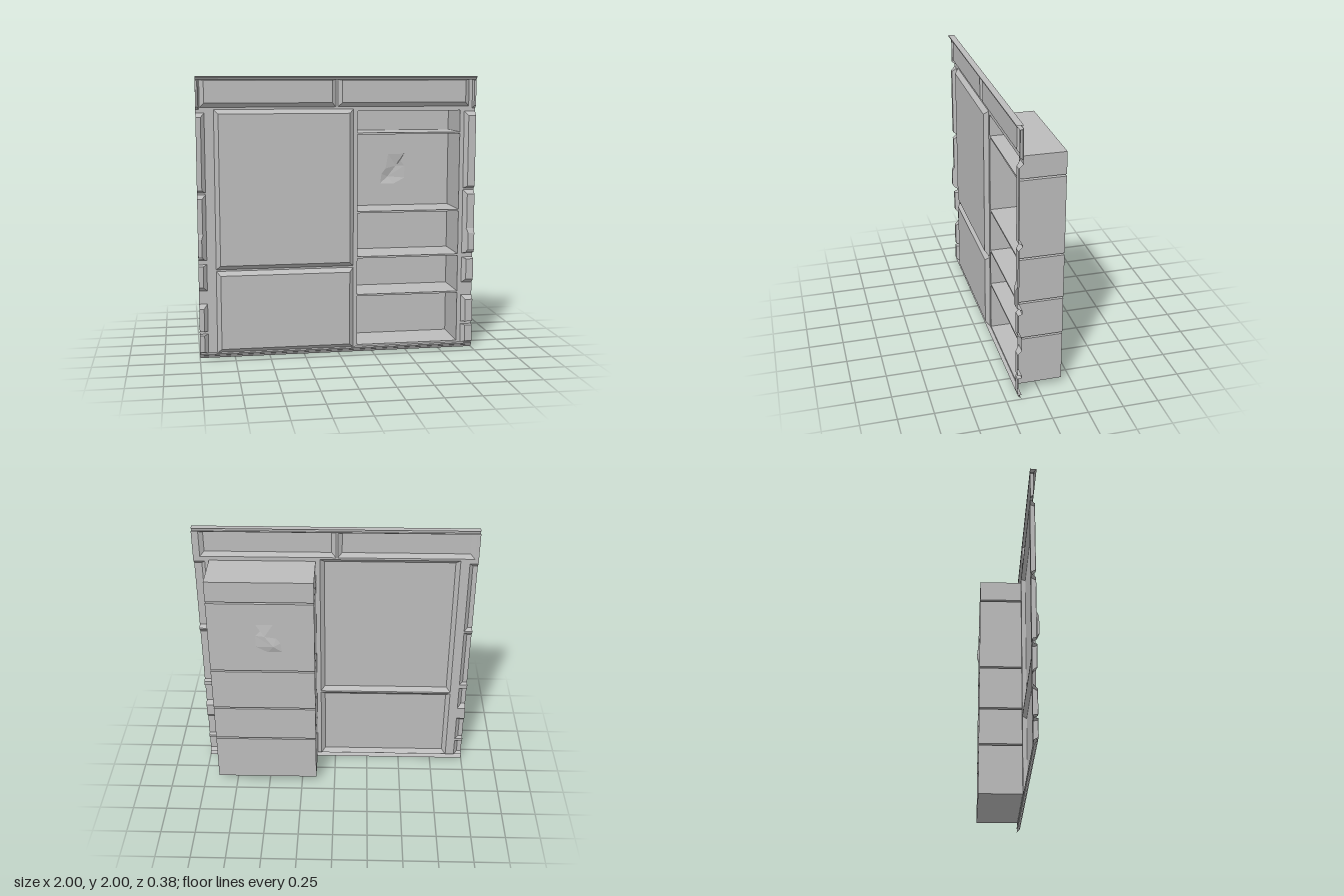
import * as THREE from 'three';

const BASE = 0.145, FACE = 0.175, BACK = -0.17;

export function createModel() {
  const model = new THREE.Group();
  model.name = 'wallPanel';
  const grey = new THREE.MeshStandardMaterial({ color: 0xbcbcbc, side: THREE.DoubleSide, flatShading: true });
  grey.name = 'plain grey';

  const add = (name, geometry) => {
    const mesh = new THREE.Mesh(geometry, grey);
    mesh.name = name;
    model.add(mesh);
    return mesh;
  };

  // Open surface from quads and triangles, each face flat
  const surface = (name, faces) => {
    const pos = [];
    for (const f of faces)
      for (let i = 1; i < f.length - 1; i++) pos.push(...f[0], ...f[i], ...f[i + 1]);
    const g = new THREE.BufferGeometry();
    g.setAttribute('position', new THREE.Float32BufferAttribute(pos, 3));
    g.computeVertexNormals();
    return add(name, g);
  };

  const rect = (x0, x1, y0, y1, z) => [[x0, y0, z], [x1, y0, z], [x1, y1, z], [x0, y1, z]];

  // Raised field with bevels [left, right, bottom, top]; null leaves that side open
  const raised = (name, [x0, x1, y0, y1], [l, r, b, t], z1 = FACE) => {
    const o = rect(x0, x1, y0, y1, BASE);
    const n = rect(x0 + (l || 0), x1 - (r || 0), y0 + (b || 0), y1 - (t || 0), z1);
    const faces = [n];
    [b, r, t, l].forEach((bevel, i) => {
      const j = (i + 1) % 4;
      if (bevel !== null) faces.push([o[i], o[j], n[j], n[i]]);
    });
    surface(name, faces);
  };

  const path = (pts, Type = THREE.Shape) => new Type(pts.map(p => new THREE.Vector2(p[0], p[1])));
  const sheet = (name, outline, holes, z) => {
    const s = path(outline);
    s.holes = holes.map(h => path(h, THREE.Path));
    const g = new THREE.ShapeGeometry(s);
    g.translate(0, 0, z);
    return add(name, g);
  };

  // Panels, header fields and shelf openings: x0, x1, y0, y1
  const panels = [[-0.875, 0.11, 0.64, 1.77], [-0.875, 0.11, 0.035, 0.628]];
  const headers = [[-0.972, -0.016, 1.785, 1.975], [-0.002, 0.952, 1.785, 1.975]];
  const shelves = [[0.05, 0.412], [0.425, 0.692], [0.705, 1.022], [1.035, 1.587], [1.60, 1.755]]
    .map(([a, b]) => [0.14, 0.89, a, b]);

  // Flat frame sheet with all the openings, and the strip behind the header
  const L = -0.94, R = 0.92;
  sheet('frame', rect(L, R, 0.035, 1.778),
    [...panels, ...shelves].map(b => rect(...b, 0)), BASE);
  sheet('headerFrame', rect(-1, 1, 1.778, 1.98), headers.map(b => rect(...b, 0)), BASE);

  panels.forEach((b, i) => raised(i ? 'lowerPanel' : 'upperPanel', b, [0.03, 0.03, 0.03, 0.03]));
  headers.forEach((b, i) => raised(i ? 'leftHeaderField' : 'rightHeaderField', b, [0.03, 0.03, 0.03, 0.004], 0.168));

  // Dented spot in the back of one shelf
  const rim = [[0.37, 1.2], [0.47, 1.195], [0.555, 1.24], [0.555, 1.33], [0.52, 1.37],
    [0.55, 1.42], [0.43, 1.42], [0.42, 1.36], [0.41, 1.31], [0.38, 1.27]];

  // Shelf boxes, open to the front
  shelves.forEach(([x0, x1, y0, y1], i) => {
    const f = rect(x0, x1, y0, y1, BASE), k = rect(x0, x1, y0, y1, BACK);
    surface('shelfBox', f.map((_, c) => [f[c], f[(c + 1) % 4], k[(c + 1) % 4], k[c]]));
    sheet('shelfBack', rect(x0, x1, y0, y1), i === 3 ? [rim] : [], BACK);
  });
  const peaks = [[0.43, 1.25, -0.188], [0.49, 1.33, -0.182]];
  const dent = [];
  rim.forEach(([x, y], i) => {
    const [x2, y2] = rim[(i + 1) % rim.length];
    const top = i >= 3 && i <= 7;
    dent.push([[x, y, BACK], [x2, y2, BACK], peaks[top ? 1 : 0]]);
    if (i === 3 || i === 8) dent.push([[x, y, BACK], peaks[0], peaks[1]]);
  });
  surface('dent', dent);

  // Raised blocks on both side edges: y0, y1, bottom bevel, top bevel
  const blocks = [[0.035, 0.175, 0.015, 0.004], [0.195, 0.395, 0.004, 0.03], [0.49, 0.68, 0.028, 0.01],
    [0.71, 1.178, 0.01, 0.03], [1.19, 1.748, 0.018, 0.03]];
  for (const side of [-1, 1]) {
    const inner = side < 0 ? L : R;
    const x = side < 0 ? [-1, inner] : [inner, 1];
    let y = 0.035;
    for (const [y0, y1, b, t] of blocks) {
      raised('edgeBlock', [...x, y0, y1], side < 0 ? [null, 0.026, b, t] : [0.026, null, b, t]);
      if (y0 > y) surface('edgeGap', [rect(...x, y, y0, BASE)]);
      y = y1;
    }
    surface('edgeGap', [rect(...x, y, 1.778, BASE)]);

    // Bulge on the middle block
    const bx = inner + side * 0.022, ix = inner + side * 0.034;
    const low = rect(Math.min(bx, side), Math.max(bx, side), 0.72, 0.9, FACE);
    const high = rect(Math.min(ix, side), Math.max(ix, side), 0.745, 0.865, 0.19);
    surface('edgeBulge', [high, ...low.map((_, i) => [low[i], low[(i + 1) % 4], high[(i + 1) % 4], high[i]])]);

    // Small post at the end of the header
    const post = [0.978, 1].map(v => v * side).sort((a, b) => a - b);
    raised('headerEnd', [...post, 1.77, 1.975], side < 0 ? [null, 0.008, 0.02, 0.005] : [0.008, null, 0.02, 0.005], 0.168);
  }

  // Mouldings swept across the full width: profile points are y, z
  const moulding = (name, profile) => surface(name, profile.slice(1).map(([y, z], i) => {
    const [py, pz] = profile[i];
    return [[-1, py, pz], [1, py, pz], [1, y, z], [-1, y, z]];
  }));
  moulding('cornice', [[1.975, BASE], [1.975, 0.172], [1.985, 0.178], [1.992, 0.19], [2, 0.19], [2, BASE]]);
  moulding('skirting', [[0.037, BASE], [0.035, 0.172], [0.022, 0.164], [0.018, 0.156], [0, BASE]]);

  return model;
}
